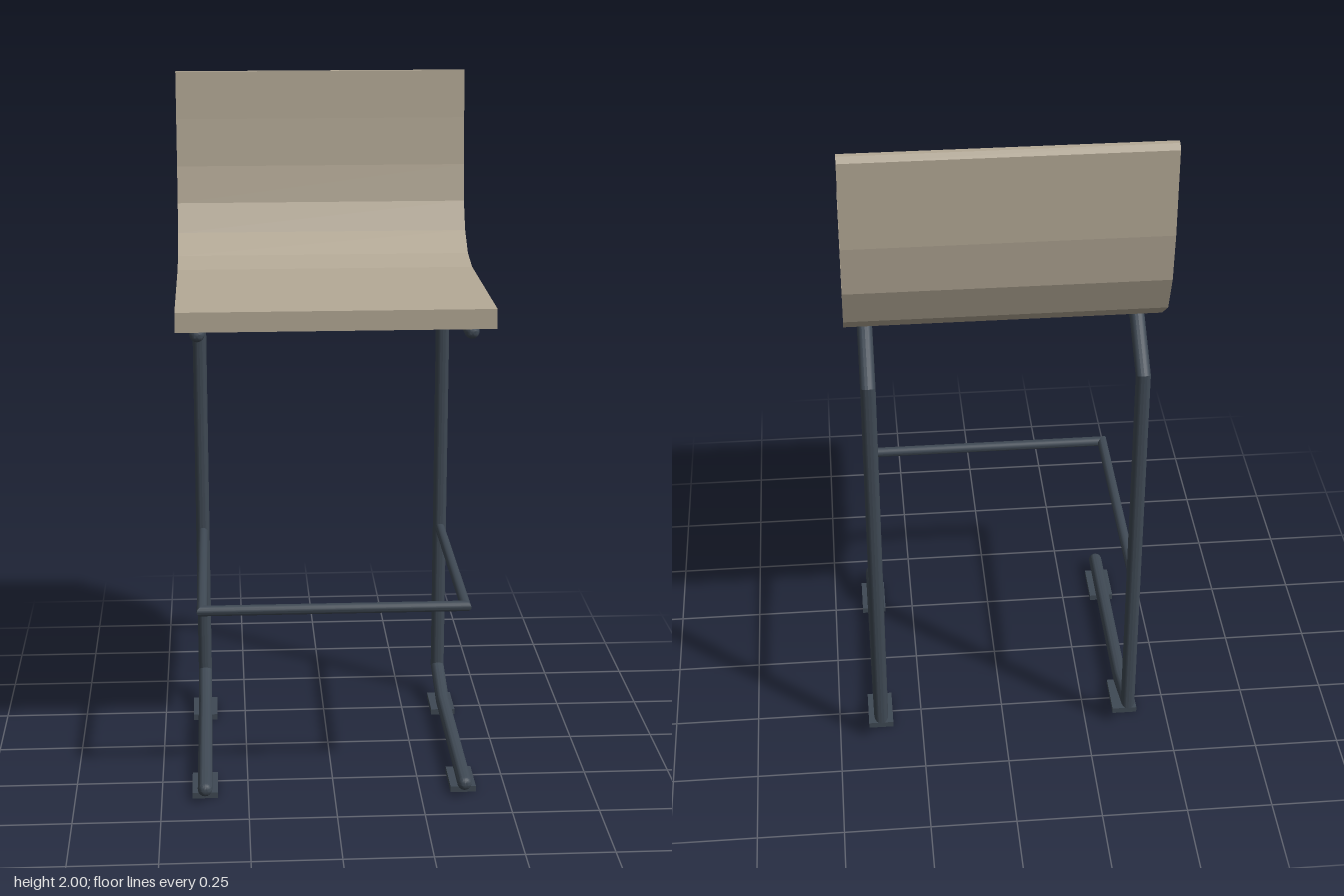
import * as THREE from 'three';
import { toCreasedNormals } from 'three/addons/utils/BufferGeometryUtils.js';

const SIDES = 16;

// Round bar along a planar path with mitred bends and domed ends; n is the normal of the path's plane.
function barGeometry(path, n, r) {
  const pts = path.map((p) => new THREE.Vector3(...p));
  const last = pts.length - 1;
  const dirs = pts.slice(1).map((p, i) => p.clone().sub(pts[i]).normalize());
  const rings = [];
  const dome = (p, t, sign) => {
    const list = [];
    for (let k = 0; k <= 4; k++) {
      const a = (k / 4) * Math.PI / 2;
      list.push({
        p: p.clone().addScaledVector(t, sign * r * Math.sin(a)),
        t, s: Math.max(Math.cos(a), 0.001), m: 1,
      });
    }
    return list;
  };
  rings.push(...dome(pts[0], dirs[0], -1).reverse());
  for (let i = 1; i < last; i++) {
    const t = dirs[i - 1].clone().add(dirs[i]).normalize();
    rings.push({ p: pts[i], t, s: 1, m: 1 / t.dot(dirs[i]) });
  }
  rings.push(...dome(pts[last], dirs[last - 1], 1));

  const pos = [], index = [];
  rings.forEach(({ p, t, s, m }, i) => {
    const b = t.clone().cross(n);
    for (let j = 0; j < SIDES; j++) {
      const a = (j / SIDES) * Math.PI * 2;
      const v = p.clone()
        .addScaledVector(n, r * s * Math.cos(a))
        .addScaledVector(b, r * s * m * Math.sin(a));
      pos.push(v.x, v.y, v.z);
      if (i === rings.length - 1) continue;
      const a0 = i * SIDES + j, b0 = i * SIDES + (j + 1) % SIDES;
      index.push(a0, b0, b0 + SIDES, a0, b0 + SIDES, a0 + SIDES);
    }
  });
  const g = new THREE.BufferGeometry();
  g.setAttribute('position', new THREE.Float32BufferAttribute(pos, 3));
  g.setIndex(index);
  return toCreasedNormals(g, 0.5);
}

export function createModel() {
  const model = new THREE.Group();
  const shellMat = new THREE.MeshStandardMaterial({ color: 0xb5aa97 });
  const steelMat = new THREE.MeshStandardMaterial({ color: 0x3f4954 });
  const add = (name, geo, mat, x = 0, y = 0, z = 0) => {
    const mesh = new THREE.Mesh(geo, mat);
    mesh.name = name;
    mesh.position.set(x, y, z);
    model.add(mesh);
  };

  // One-piece seat and backrest: side profile as (z, y), extruded across the width
  const profile = [
    [0.43, 1.4], [0.43, 1.455], [-0.13, 1.455], [-0.237, 1.475], [-0.315, 1.53],
    [-0.36, 1.612], [-0.38, 1.72], [-0.392, 1.86], [-0.4, 2], [-0.415, 2],
    [-0.426, 1.985], [-0.426, 1.74], [-0.412, 1.6], [-0.37, 1.49], [-0.285, 1.422],
    [-0.14, 1.4],
  ];
  const width = 0.866;
  const shell = new THREE.ExtrudeGeometry(
    new THREE.Shape(profile.map(([z, y]) => new THREE.Vector2(z, y))),
    { depth: width, bevelEnabled: false },
  );
  shell.translate(0, 0, -width / 2).rotateY(-Math.PI / 2);
  add('seatAndBackrest', shell, shellMat);

  // Side frames: floor runner, upright and seat rail in one bent bar
  const X = 0.375;
  const sidePath = [
    [0, 0.042, 0.387], [0, 0.042, -0.2], [0, 0.094, -0.368],
    [0, 1.275, -0.368], [0, 1.376, -0.228], [0, 1.376, 0.352],
  ];
  const sideBar = barGeometry(sidePath, new THREE.Vector3(1, 0, 0), 0.021);
  const railPlate = new THREE.BoxGeometry(0.085, 0.034, 0.465);
  const footPad = new THREE.BoxGeometry(0.074, 0.018, 0.133);
  for (const [side, s] of [['left', 1], ['right', -1]]) {
    add(side + 'SideFrame', sideBar, steelMat, s * X);
    add(side + 'SeatMount', railPlate, steelMat, s * X, 1.383, 0.052);
    add(side + 'FrontFootPad', footPad, steelMat, s * X, 0.009, 0.295);
    add(side + 'BackFootPad', footPad, steelMat, s * X, 0.009, -0.253);
  }

  // U-shaped footrest between the uprights
  const restPath = [[-X, 0.568, -0.365], [-X, 0.568, 0.333], [X, 0.568, 0.333], [X, 0.568, -0.365]];
  add('footrest', barGeometry(restPath, new THREE.Vector3(0, 1, 0), 0.015), steelMat);

  return model;
}
